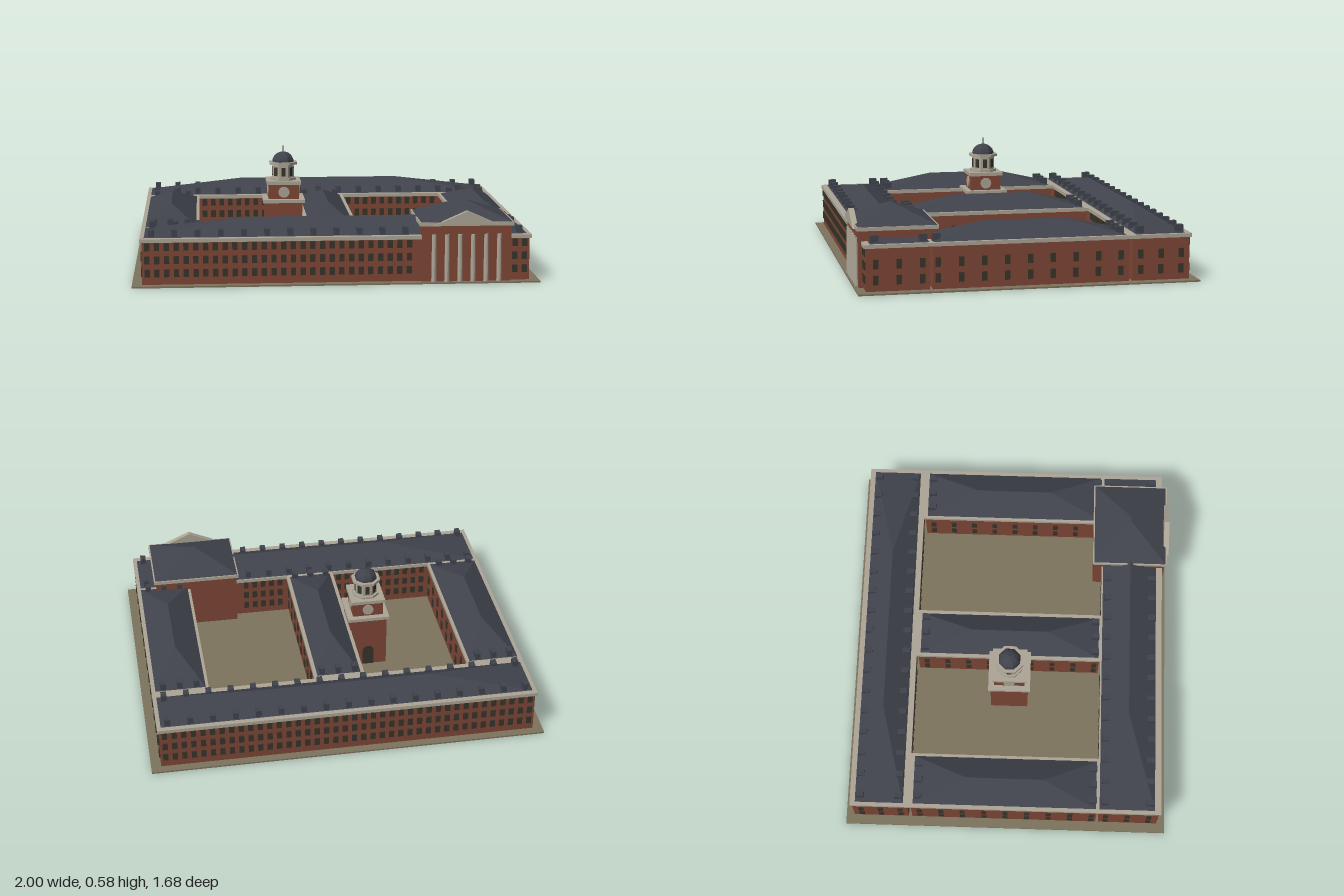
import * as THREE from 'three';
import { mergeGeometries } from 'three/addons/utils/BufferGeometryUtils.js';

const mat = (color, extra = {}) => new THREE.MeshStandardMaterial({ color, flatShading: true, ...extra });
const brick = mat(0x7e4736);
const cream = mat(0xaca596);
const slate = mat(0x40434c);
const glass = mat(0x38342a);
const earth = mat(0x7d735d);

// Box given by its lower and upper limits on each axis
function box(x0, x1, y0, y1, z0, z1) {
  return new THREE.BoxGeometry(x1 - x0, y1 - y0, z1 - z0)
    .translate((x0 + x1) / 2, (y0 + y1) / 2, (z0 + z1) / 2);
}

// Hipped roof over a rectangle; the ridge runs along the longer side
function hipRoof(x0, x1, z0, z1, y0, y1, ridgeHalf) {
  const cx = (x0 + x1) / 2, cz = (z0 + z1) / 2, alongX = x1 - x0 > z1 - z0;
  const a = [x0, y0, z1], b = [x1, y0, z1], c = [x1, y0, z0], d = [x0, y0, z0];
  const r = alongX ? [cx - ridgeHalf, y1, cz] : [cx, y1, cz + ridgeHalf];
  const s = alongX ? [cx + ridgeHalf, y1, cz] : [cx, y1, cz - ridgeHalf];
  const faces = alongX
    ? [a, b, s, a, s, r, b, c, s, c, d, r, c, r, s, d, a, r]
    : [a, b, r, b, c, s, b, s, r, c, d, s, d, a, r, d, r, s];
  const g = new THREE.BufferGeometry();
  g.setAttribute('position', new THREE.Float32BufferAttribute([...faces, a, d, c, a, c, b].flat(), 3));
  g.computeVertexNormals();
  return g;
}

const spread = (a, b, n) => Array.from({ length: n }, (_, i) => a + (b - a) * i / (n - 1));

export function createModel() {
  const model = new THREE.Group();
  const add = (name, geometry, material, parent = model) => {
    const m = new THREE.Mesh(geometry, material);
    m.name = name;
    parent.add(m);
    return m;
  };
  const GROUND = 0.008, EAVE = 0.217, ROOF = 0.235;

  add('ground', box(-1, 1, 0, GROUND, -0.84, 0.84), earth);

  // Wings: brick walls, cornice, hipped slate roof
  const wings = [
    { name: 'frontWing', x: [-0.95, 0.95], z: [0.49, 0.797], roof: [-0.94, 0.94, 0.488, 0.775], ridge: 0.44 },
    { name: 'backWing', x: [-0.95, 0.95], z: [-0.797, -0.51], roof: [-0.94, 0.94, -0.78, -0.53], ridge: 0.44 },
    { name: 'rightWing', x: [-0.95, -0.68], z: [-0.492, 0.475], roof: [-0.94, -0.685, -0.48, 0.47], ridge: 0.2 },
    { name: 'middleWing', x: [-0.12, 0.12], z: [-0.492, 0.475], roof: [-0.112, 0.112, -0.48, 0.47], ridge: 0.2 },
    { name: 'leftWing', x: [0.68, 0.95], z: [-0.492, 0.475], roof: [0.685, 0.94, -0.48, 0.47], ridge: 0.2 },
  ];
  for (const w of wings) {
    const g = new THREE.Group();
    g.name = w.name;
    model.add(g);
    const [x0, x1] = w.x, [z0, z1] = w.z, o = 0.01;
    add('walls', box(x0, x1, GROUND, EAVE, z0, z1), brick, g);
    add('cornice', box(x0 - o, x1 + o, EAVE, ROOF, z0 - o, z1 + o), cream, g);
    add('roof', hipRoof(...w.roof, ROOF, 0.31, w.ridge), slate, g);
  }

  // Windows: thin panes standing slightly proud of the walls
  const panes = [];
  const pane = (x, y, z, alongX, h) => panes.push(
    new THREE.BoxGeometry(alongX ? 0.026 : 0.012, h, alongX ? 0.012 : 0.026).translate(x, y, z));
  const underPortico = (x) => x > 0.4 && x < 0.87;
  for (const y of [0.065, 0.13, 0.195])
    for (const x of spread(-0.925, 0.925, 40)) {
      if (!underPortico(x)) pane(x, y, 0.797, true, 0.038);
      pane(x, y, -0.797, true, 0.038);
      const meetsWing = Math.abs(x) < 0.14 || Math.abs(x) > 0.67;
      if (meetsWing) continue;
      if (!underPortico(x)) pane(x, y, 0.49, true, 0.038);
      pane(x, y, -0.51, true, 0.038);
    }
  for (const y of [0.063, 0.14]) {
    for (const side of [-1, 1]) {
      for (const z of [...spread(0.525, 0.75, 3), ...spread(-0.755, -0.55, 3)])
        pane(side * 0.95, y, z, false, 0.045);
      for (const z of spread(-0.45, 0.45, 9))
        for (const x of [0.95, 0.68, 0.12]) pane(side * x, y, z, false, 0.045);
    }
  }
  add('windows', mergeGeometries(panes), glass);

  // Dormers along the eaves of the long wings and at the ends of the short wings
  const dormers = [];
  const dormer = (x, z) => dormers.push(box(x - 0.014, x + 0.014, ROOF, 0.272, z - 0.02, z + 0.02));
  for (const x of spread(-0.905, 0.905, 17))
    for (const z of [0.75, 0.515, -0.555, -0.755])
      if (!(z > 0 && underPortico(x))) dormer(x, z);
  for (const cx of [-0.815, 0, 0.815])
    for (const dx of [-0.085, 0, 0.085])
      for (const z of [-0.455, 0.452]) dormer(cx + dx, z);
  add('dormers', mergeGeometries(dormers), slate);

  // Entrance pavilion with columns and pediment
  const pavilion = new THREE.Group();
  pavilion.name = 'entrancePavilion';
  model.add(pavilion);
  add('walls', box(0.415, 0.855, GROUND, 0.285, 0.44, 0.818), brick, pavilion);
  add('cornice', box(0.403, 0.867, 0.285, 0.303, 0.43, 0.828), cream, pavilion);
  add('roof', hipRoof(0.41, 0.86, 0.437, 0.822, 0.303, 0.388, 0.012), slate, pavilion);
  for (const x of spread(0.474, 0.796, 6))
    add('column', new THREE.CylinderGeometry(0.011, 0.013, 0.235, 10).translate(x, 0.1255, 0.82), cream, pavilion);
  const gable = new THREE.Shape([
    new THREE.Vector2(0.47, 0.287), new THREE.Vector2(0.80, 0.287), new THREE.Vector2(0.635, 0.36)]);
  add('pediment', new THREE.ExtrudeGeometry(gable, { depth: 0.028, bevelEnabled: false }).translate(0, 0, 0.811),
    cream, pavilion);

  // Clock tower
  const tower = new THREE.Group();
  tower.name = 'clockTower';
  tower.position.set(-0.225, 0, 0);
  model.add(tower);
  const stage = (name, r, y0, y1, m) => add(name, box(-r, r, y0, y1, -r, r), m, tower);
  stage('lowerWalls', 0.098, GROUND, 0.288, brick);
  stage('belt', 0.11, 0.288, 0.305, cream);
  stage('clockStage', 0.08, 0.305, 0.382, brick);
  stage('clockCornice', 0.09, 0.382, 0.4, cream);
  for (let i = 0; i < 4; i++) {
    const face = new THREE.CylinderGeometry(0.029, 0.029, 0.008, 24).rotateX(Math.PI / 2);
    add('clockFace', face.translate(0, 0.342, 0.081).rotateY(i * Math.PI / 2), cream, tower);
  }
  // Arched doorways
  const arch = new THREE.Shape();
  arch.moveTo(-0.03, GROUND);
  arch.lineTo(0.03, GROUND);
  arch.lineTo(0.03, 0.09);
  arch.absarc(0, 0.09, 0.03, 0, Math.PI);
  for (const turn of [0, Math.PI])
    add('archedDoor', new THREE.ExtrudeGeometry(arch, { depth: 0.006, bevelEnabled: false, curveSegments: 8 })
      .translate(0, 0, 0.095).rotateY(turn), glass, tower);

  // Octagonal lantern, dome and finial
  const octagon = (name, r, y0, y1, m) => add(name,
    new THREE.CylinderGeometry(r, r, y1 - y0, 8).rotateY(Math.PI / 8).translate(0, (y0 + y1) / 2, 0), m, tower);
  octagon('lanternBase', 0.072, 0.4, 0.412, cream);
  octagon('lantern', 0.06, 0.412, 0.482, cream);
  octagon('lanternCornice', 0.078, 0.482, 0.495, cream);
  for (let i = 0; i < 8; i++)
    add('louvre', box(-0.011, 0.011, 0.422, 0.468, 0.05, 0.058).rotateY(i * Math.PI / 4), glass, tower);
  const dome = spread(0, Math.PI / 2, 7).map(t =>
    new THREE.Vector2(0.06 * Math.cos(t), 0.493 + 0.054 * Math.sin(t)));
  add('dome', new THREE.LatheGeometry(dome, 8, Math.PI / 8), slate, tower);
  add('finial', new THREE.CylinderGeometry(0.002, 0.004, 0.04, 8).translate(0, 0.56, 0), slate, tower);

  return model;
}
